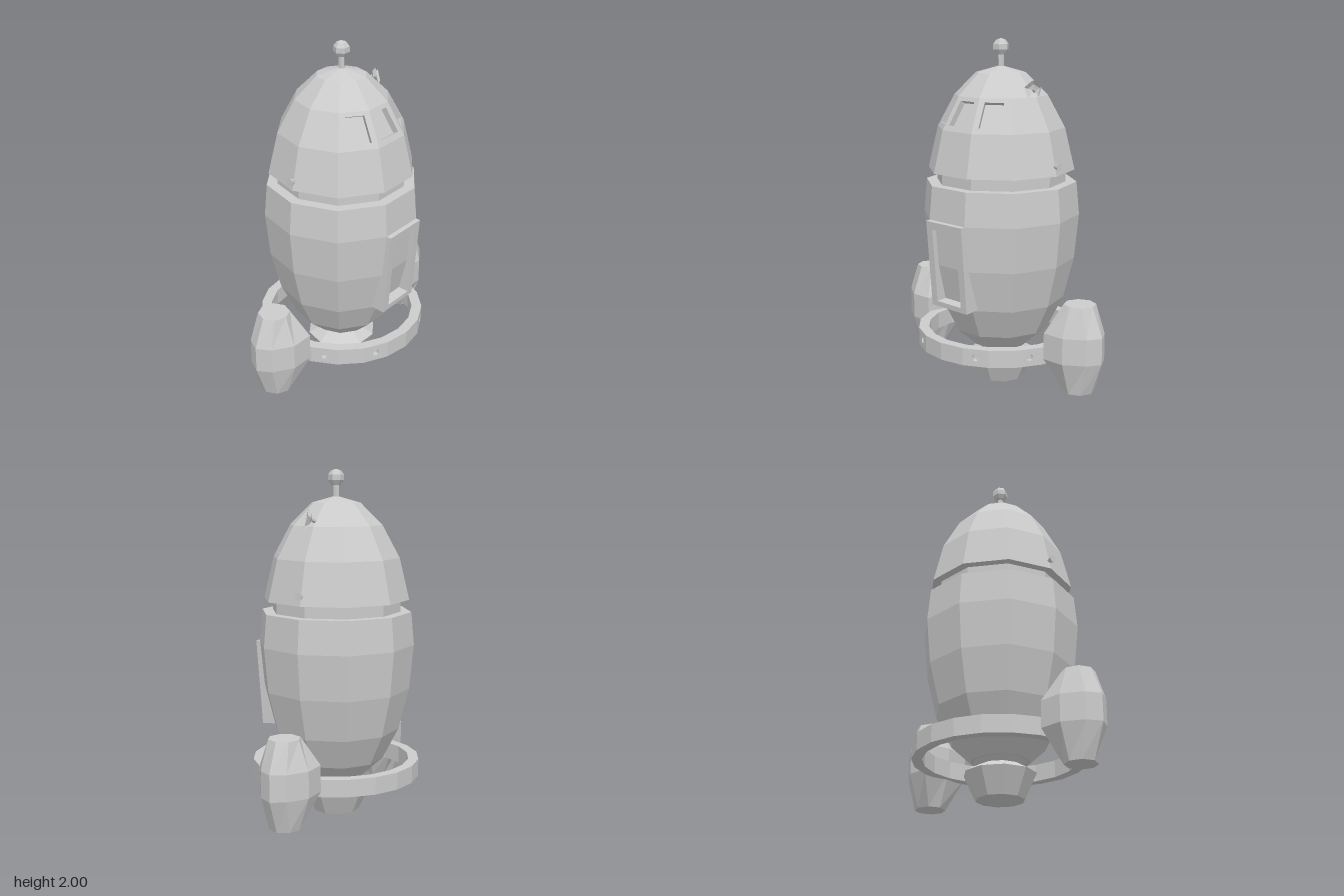
import * as THREE from 'three';

const grey = new THREE.MeshStandardMaterial({ color: 0xcccccc, flatShading: true });
const thin = new THREE.MeshStandardMaterial({ color: 0xcccccc, flatShading: true, side: THREE.DoubleSide });
const V = (x, y, z) => new THREE.Vector3(x, y, z);
const vec2 = (pts) => pts.map((p) => new THREE.Vector2(p[0], p[1]));

function add(parent, name, geometry, material = grey) {
  const mesh = new THREE.Mesh(geometry, material);
  mesh.name = name;
  parent.add(mesh);
  return mesh;
}

const lathe = (pts, sides = 10, start = Math.PI / 10) => new THREE.LatheGeometry(vec2(pts), sides, start);

function fromTriangles(pos, idx) {
  const g = new THREE.BufferGeometry();
  g.setAttribute('position', new THREE.Float32BufferAttribute(pos, 3));
  g.setIndex(idx);
  g.computeVertexNormals();
  return g;
}

// Straight walls leading inward from a counter-clockwise outline
function recessWalls(pts, depth) {
  const pos = [], idx = [], n = pts.length;
  pts.forEach(([x, y]) => pos.push(x, y, 0, x, y, -depth));
  for (let i = 0; i < n; i++) {
    const a = 2 * i, b = 2 * ((i + 1) % n);
    idx.push(a, b, b + 1, a, b + 1, a + 1);
  }
  return fromTriangles(pos, idx);
}

// One flat facet of a faceted shell, optionally with a sunken opening
function facet(parent, name, { bottom, top, height, apothem, y, angle, tilt = 0, hole, depth }) {
  const turn = new THREE.Group();
  turn.name = name;
  turn.rotation.y = angle;
  const plane = new THREE.Group();
  plane.position.set(0, y, apothem);
  plane.rotation.x = -tilt;
  turn.add(plane);
  parent.add(turn);
  const shape = new THREE.Shape(vec2([[-bottom, 0], [bottom, 0], [top, height], [-top, height]]));
  if (hole) {
    shape.holes.push(new THREE.Path(vec2(hole)));
    add(plane, name + 'RecessWalls', recessWalls(hole, depth));
    add(plane, name + 'RecessFloor', new THREE.ShapeGeometry(new THREE.Shape(vec2(hole)))).position.z = -depth;
  }
  add(plane, name + 'Face', new THREE.ShapeGeometry(shape));
}

// Side pod: eight-sided sections, widened on the side that grips the ring
function podGeometry() {
  const half = [[0.16, 0], [0.115, 0.08], [0.005, 0.152], [-0.13, 0.152], [-0.16, 0]];
  const wide = [...half, ...half.slice(1, 4).reverse().map(([x, z]) => [x, -z])];
  const small = wide.map((_, i) => [0.09 * Math.cos(i * Math.PI / 4), 0.09 * Math.sin(i * Math.PI / 4)]);
  const levels = [[0.065, small], [0.255, wide], [0.405, wide], [0.57, small]];
  const pos = [], idx = [];
  levels.forEach(([y, ring]) => ring.forEach(([x, z]) => pos.push(x, y, z)));
  pos.push(0, 0.065, 0, 0, 0.57, 0);
  for (let i = 0; i < 8; i++) {
    const j = (i + 1) % 8;
    for (let k = 0; k < 24; k += 8) {
      idx.push(k + i, k + 8 + i, k + j, k + j, k + 8 + i, k + 8 + j);
    }
    idx.push(32, i, j, 33, 24 + j, 24 + i);
  }
  return fromTriangles(pos, idx);
}

export function createModel() {
  const model = new THREE.Group();
  model.name = 'rocket';

  // Nozzle, hull and recessed neck
  add(model, 'nozzle', lathe([[0, 0], [0.137, 0], [0.205, 0.145], [0.125, 0.19], [0.16, 0.22]]));
  add(model, 'hull', lathe([[0, 0.21], [0.165, 0.215], [0.28, 0.32], [0.37, 0.5], [0.43, 0.74],
    [0.455, 1.0], [0.438, 1.19], [0.37, 1.19]]));
  add(model, 'neck', lathe([[0.375, 1.15], [0.375, 1.27]]));

  // Nose cone
  add(model, 'noseSkirt', lathe([[0.36, 1.26], [0.425, 1.26], [0.368, 1.5]]));
  add(model, 'noseTip', lathe([[0.268, 1.685], [0.142, 1.81], [0, 1.85]]));

  // Window band: ten sloping facets, the three at the front with windows
  const c10 = Math.cos(Math.PI / 10), s10 = Math.sin(Math.PI / 10);
  const run = 0.1 * c10, slope = Math.hypot(run, 0.185);
  for (let i = 0; i < 10; i++) {
    const isWindow = i <= 1 || i === 9;
    const lo = slope * 0.16, hi = slope * 0.88;
    facet(model, isWindow ? 'window' : 'nosePanel', {
      bottom: 0.368 * s10, top: 0.268 * s10, height: slope, apothem: 0.368 * c10, y: 1.5,
      angle: i * Math.PI / 5, tilt: Math.atan2(run, 0.185), depth: 0.035,
      hole: isWindow ? [[-0.077, lo], [0.077, lo], [0.053, hi], [-0.053, hi]] : null,
    });
  }

  // Antenna
  add(model, 'antennaStem', new THREE.CylinderGeometry(0.018, 0.018, 0.09, 6)).position.y = 1.875;
  add(model, 'antennaBall', new THREE.SphereGeometry(0.048, 6, 5)).position.y = 1.952;

  // Small dish beside the nose
  const dish = new THREE.Group();
  dish.name = 'dish';
  dish.position.set(0.265, 1.722, 0.012);
  dish.quaternion.setFromUnitVectors(V(0, 1, 0), V(0.5, 0.25, 0.83).normalize());
  add(dish, 'dishBowl', lathe([[0.008, 0], [0.035, 0.01], [0.052, 0.032]], 5, 0), thin);
  add(dish, 'dishFeed', new THREE.ConeGeometry(0.012, 0.045, 5)).position.y = 0.022;
  model.add(dish);
  const arm = add(model, 'dishArm', new THREE.CylinderGeometry(0.01, 0.01, 0.08, 5));
  arm.position.set(0.235, 1.71, 0.006);
  arm.quaternion.setFromUnitVectors(V(0, 1, 0), V(0.92, 0.37, 0.12).normalize());

  // Door frame, leaning with the hull, with its panel set deep inside
  const frame = new THREE.Shape(vec2([[-0.14, 0], [0.14, 0], [0.14, 0.5], [-0.14, 0.5]]));
  const opening = [[-0.095, 0.03], [0.095, 0.03], [0.095, 0.455], [-0.095, 0.455]];
  frame.holes.push(new THREE.Path(vec2(opening)));
  const door = new THREE.Group();
  door.name = 'door';
  door.position.set(0, 0.5, 0.42);
  door.rotation.x = Math.atan2(0.04, 0.5);
  add(door, 'doorFrame', new THREE.ExtrudeGeometry(frame, { depth: 0.085, bevelEnabled: false })).position.z = -0.085;
  model.add(door);

  // Support ring: twenty outer facets, four at the front with bolt holes
  add(model, 'ringInside', lathe([[0.49, 0.32], [0.43, 0.32], [0.43, 0.22], [0.49, 0.22]], 20, 0));
  const boltHole = Array.from({ length: 8 }, (_, i) =>
    [0.021 * Math.cos(i * Math.PI / 4), 0.05 + 0.021 * Math.sin(i * Math.PI / 4)]);
  for (let i = 0; i < 20; i++) {
    const w = 0.49 * Math.sin(Math.PI / 20), drilled = [1, 3, 16, 18].includes(i);
    facet(model, drilled ? 'ringBolt' : 'ringPanel', {
      bottom: w, top: w, height: 0.1, apothem: 0.49 * Math.cos(Math.PI / 20), y: 0.22,
      angle: (i + 0.5) * Math.PI / 10, depth: 0.03, hole: drilled ? boltHole : null,
    });
  }

  // Pods and flared side studs, mirrored
  const pod = podGeometry();
  for (const side of [1, -1]) {
    const p = add(model, side > 0 ? 'leftPod' : 'rightPod', pod);
    p.position.x = side * 0.605;
    if (side < 0) p.rotation.y = Math.PI;
    const stud = add(model, side > 0 ? 'leftStud' : 'rightStud', new THREE.CylinderGeometry(0.023, 0.008, 0.04, 8));
    stud.position.set(side * 0.424, 1.315, 0);
    stud.rotation.z = -side * Math.PI / 2;
  }
  return model;
}
